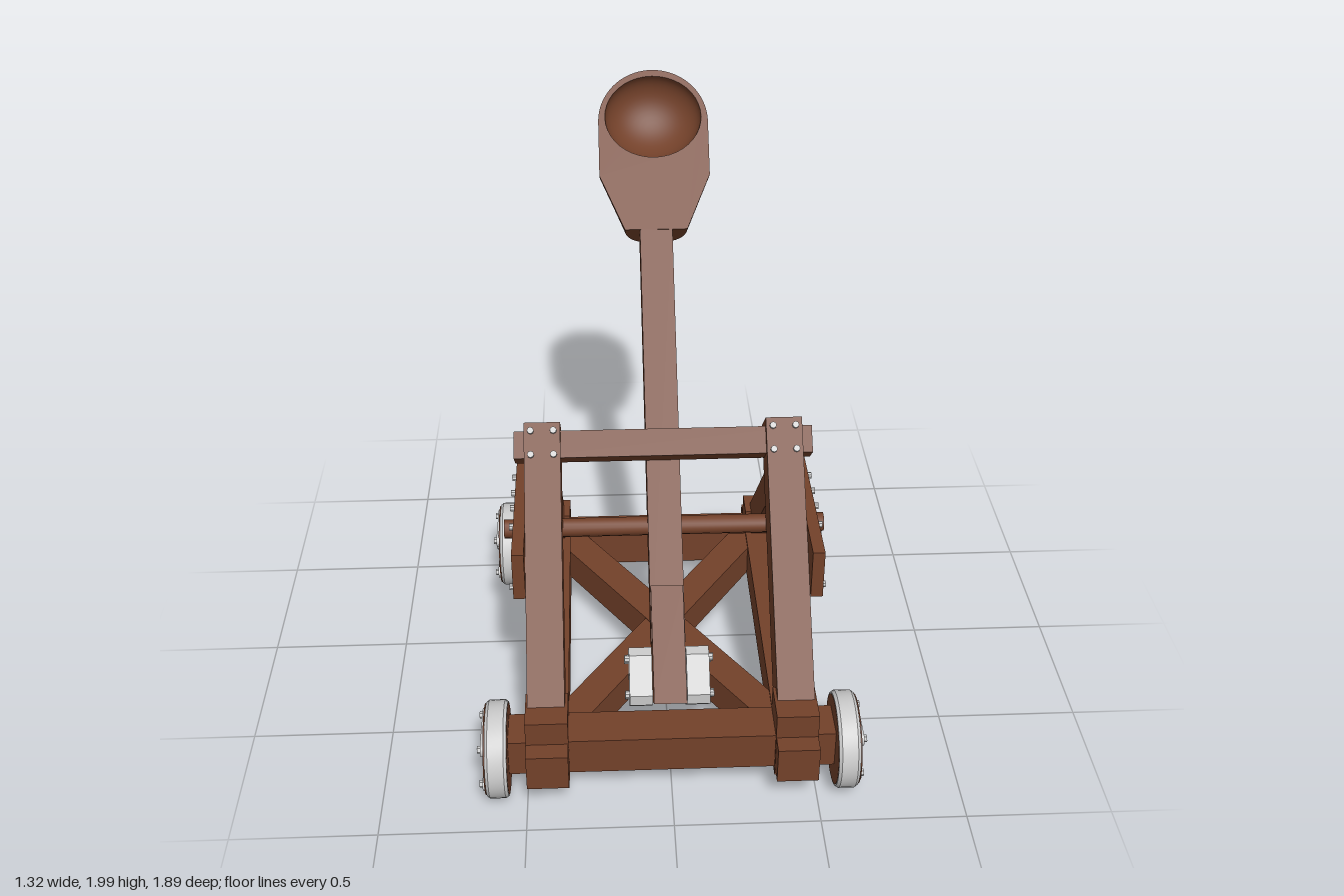
import * as THREE from 'three';
import { toCreasedNormals } from 'three/addons/utils/BufferGeometryUtils.js';

const wood = new THREE.MeshStandardMaterial({ color: 0x73412a });
const woodThin = new THREE.MeshStandardMaterial({ color: 0x73412a, side: THREE.DoubleSide });
const metal = new THREE.MeshStandardMaterial({ color: 0xcccccc });
const TILT = -0.742; // lean of the arm and front struts

function add(parent, name, geo, mat, x = 0, y = 0, z = 0) {
  const m = new THREE.Mesh(geo, mat);
  m.name = name;
  m.position.set(x, y, z);
  parent.add(m);
  return m;
}
const box = (parent, name, w, h, d, x, y, z, mat = wood) =>
  add(parent, name, new THREE.BoxGeometry(w, h, d), mat, x, y, z);

function group(parent, name, x = 0, y = 0, z = 0) {
  const g = new THREE.Group();
  g.name = name;
  g.position.set(x, y, z);
  parent.add(g);
  return g;
}

// Cylinder lying along x
function rodX(parent, name, r, len, sides, mat, x, y, z) {
  const geo = toCreasedNormals(new THREE.CylinderGeometry(r, r, len, sides), 0.6);
  return add(parent, name, geo.rotateZ(Math.PI / 2), mat, x, y, z);
}

// Side profile drawn in (z, y), extruded along x and centred
function extrudeX(shape, width) {
  return new THREE.ExtrudeGeometry(shape, { depth: width, bevelEnabled: false, curveSegments: 10 })
    .translate(0, 0, -width / 2).rotateY(-Math.PI / 2);
}
const polygon = pts => new THREE.Shape(pts.map(p => new THREE.Vector2(...p)));

// Beam leaning in the z-y plane between two [z, y] points
function leaningBeam(parent, name, w, d, x, a, b) {
  const dz = b[0] - a[0], dy = b[1] - a[1];
  const m = box(parent, name, w, Math.hypot(dz, dy), d, x, (a[1] + b[1]) / 2, (a[0] + b[0]) / 2);
  m.rotation.x = Math.atan2(dz, dy);
  return m;
}

// Wheel whose outer face looks along +x
function wheel(parent, x, z) {
  const g = group(parent, 'wheel', x, 0.167, z);
  if (x < 0) g.rotation.y = Math.PI;
  const profile = [[0.154, -0.037], [0.16, -0.037], [0.167, -0.027], [0.167, 0.027], [0.16, 0.037], [0.154, 0.037], [0.154, -0.037]];
  const rim = new THREE.LatheGeometry(profile.map(p => new THREE.Vector2(...p)), 40);
  add(g, 'wheelRim', toCreasedNormals(rim, 0.4).rotateZ(-Math.PI / 2), metal);
  rodX(g, 'wheelDisc', 0.155, 0.08, 40, wood, 0.002, 0, 0);
  rodX(g, 'hubBolt', 0.02, 0.02, 6, metal, 0.05, 0, 0);
  const strap = new THREE.Shape();
  strap.absarc(0.087, 0, 0.023, -Math.PI / 2, Math.PI / 2);
  strap.absarc(-0.087, 0, 0.023, Math.PI / 2, Math.PI * 1.5);
  for (const y of [-0.078, 0.078]) {
    add(g, 'wheelStrap', extrudeX(strap, 0.014), metal, 0.045, y, 0);
    for (const bz of [-0.087, 0.087]) rodX(g, 'strapBolt', 0.013, 0.014, 6, metal, 0.056, y, bz);
  }
}

// Spoon head: rounded hull, flat face with a round opening, hollow bowl
function spoon(parent) {
  const g = group(parent, 'spoon', 0, 1.088, 0.07);
  const R = 0.205, D = 0.163, N = 24;
  const sections = [[0, 0.115, D], [0.21, R, D], [0.32, R, D]];
  for (let i = 0; i <= 12; i++) {
    const a = (i / 12) * Math.PI / 2;
    sections.push([0.42 + 0.207 * Math.sin(a), R * Math.cos(a), D * Math.cos(a)]);
  }
  const pos = [], idx = [];
  for (const [u, w, h] of sections) {
    for (let j = 0; j <= N; j++) {
      const c = Math.cos(j / N * Math.PI), s = Math.sin(j / N * Math.PI);
      pos.push(w * Math.sign(c) * Math.abs(c) ** 0.85, u, -h * Math.max(s, 0) ** 0.85);
    }
  }
  for (let i = 0; i < sections.length - 1; i++) {
    for (let j = 0; j < N; j++) {
      const a = i * (N + 1) + j, c = a + N + 1;
      idx.push(a, a + 1, c, a + 1, c + 1, c);
    }
  }
  const centre = pos.length / 3;
  pos.push(0, 0, 0);
  for (let j = 0; j < N; j++) idx.push(centre, j + 1, j);
  const hull = new THREE.BufferGeometry();
  hull.setAttribute('position', new THREE.Float32BufferAttribute(pos, 3));
  hull.setIndex(idx);
  add(g, 'spoonHull', toCreasedNormals(hull, 0.5), wood);

  const face = new THREE.Shape();
  face.moveTo(-0.115, 0);
  face.lineTo(0.115, 0);
  face.lineTo(R, 0.21);
  face.lineTo(R, 0.42);
  face.absarc(0, 0.42, R, 0, Math.PI);
  face.lineTo(-R, 0.21);
  const hole = new THREE.Path();
  hole.absellipse(0, 0.44, 0.18, 0.16, 0, Math.PI * 2, true);
  face.holes.push(hole);
  add(g, 'spoonFace', new THREE.ShapeGeometry(face, 20), wood);
  const bowl = new THREE.SphereGeometry(1, 40, 12, 0, Math.PI * 2, Math.PI / 2, Math.PI / 2);
  add(g, 'spoonBowl', bowl.rotateX(Math.PI / 2).scale(0.18, 0.16, 0.115), woodThin, 0, 0.44, 0);
}

export function createModel() {
  const model = new THREE.Group();
  model.name = 'catapult';

  // Base frame
  const base = group(model, 'baseFrame');
  box(base, 'frontCrossbeam', 1.12, 0.14, 0.145, 0, 0.18, 0.772);
  box(base, 'rearCrossbeam', 1.12, 0.14, 0.13, 0, 0.18, -0.415);
  for (const s of [-1, 1]) {
    box(base, 'sideRail', 0.143, 0.138, 1.46, s * 0.425, 0.18, 0.19);
    box(base, 'frontCornerBlock', 0.145, 0.26, 0.155, s * 0.425, 0.21, 0.777);
    box(base, 'rearCornerBlock', 0.145, 0.26, 0.115, s * 0.425, 0.21, -0.415);
    const brace = box(base, 'diagonalBrace', 0.115, 0.122 + s * 0.003, 1.3, 0, 0.18, 0.178);
    brace.rotation.y = s * Math.atan2(0.72, 1.08);
    for (const z of [0.778, -0.42]) wheel(model, s * 0.597, z);
  }

  // Side frames
  for (const s of [-1, 1]) {
    const g = group(model, 'sideFrame');
    leaningBeam(g, 'frontStrut', 0.128, 0.147, s * 0.427, [0.753, 0.25], [0.05, 1.017]);
    leaningBeam(g, 'rearStrut', 0.1, 0.12, s * 0.425, [-0.42, 0.25], [0.15, 0.82]);
    const shift = s > 0 ? 0 : -0.03;
    box(g, 'sidePlate', 0.042, 0.185, 0.67, s * 0.512, 0.697, 0.205 + shift);
    const bolts = [[0.345, 0.77], [0.23, 0.77], [0.135, 0.77], [0.035, 0.77], [0.49, 0.62], [0.035, 0.62], [-0.115, 0.62]];
    for (const [z, y] of bolts) rodX(g, 'plateBolt', 0.012, 0.02, 8, metal, s * 0.538, y, z + shift);

    // Four bolts at the strut top
    const top = group(g, 'strutTopBolts', s * 0.427, 1.017, 0.05);
    top.rotation.x = TILT;
    for (const bx of [-0.04, 0.04]) {
      for (const by of [-0.03, -0.115]) {
        const geo = new THREE.CylinderGeometry(0.012, 0.012, 0.02, 8).rotateX(Math.PI / 2);
        add(top, 'strutBolt', geo, metal, bx, by, 0.078);
      }
    }
  }
  box(model, 'stopBar', 1.055, 0.097, 0.097, 0, 0.963, 0.103).rotation.x = TILT;
  rodX(model, 'axle', 0.034, 1.146, 12, wood, 0, 0.683, 0.205);

  // Throwing arm, tilted about the axle
  const arm = group(model, 'throwingArm', 0, 0.683, 0.205);
  arm.rotation.x = TILT;
  box(arm, 'armBeam', 0.12, 1.54, 0.125, 0, 0.35, 0.005);
  spoon(arm);

  // Flared arm foot and its counterweights
  const foot = polygon([[0.41, 0.57], [0.31, 0.47], [0.5, 0.12], [0.725, 0.3]]);
  add(model, 'armFoot', extrudeX(foot, 0.114), wood);
  const h = 0.1, c = 0.07;
  const cut = polygon([[h, c], [c, h], [-c, h], [-h, c], [-h, -c], [-c, -h], [c, -h], [h, -c]]);
  for (const s of [-1, 1]) {
    const w = group(model, 'counterweight', s * 0.1, 0.282, 0.56);
    w.rotation.x = TILT;
    add(w, 'weightBlock', extrudeX(cut, 0.08), metal);
    for (const y of [-0.062, 0.062]) {
      for (const z of [-0.062, 0.062]) rodX(w, 'weightBolt', 0.014, 0.02, 8, metal, s * 0.045, y, z);
    }
  }
  return model;
}
